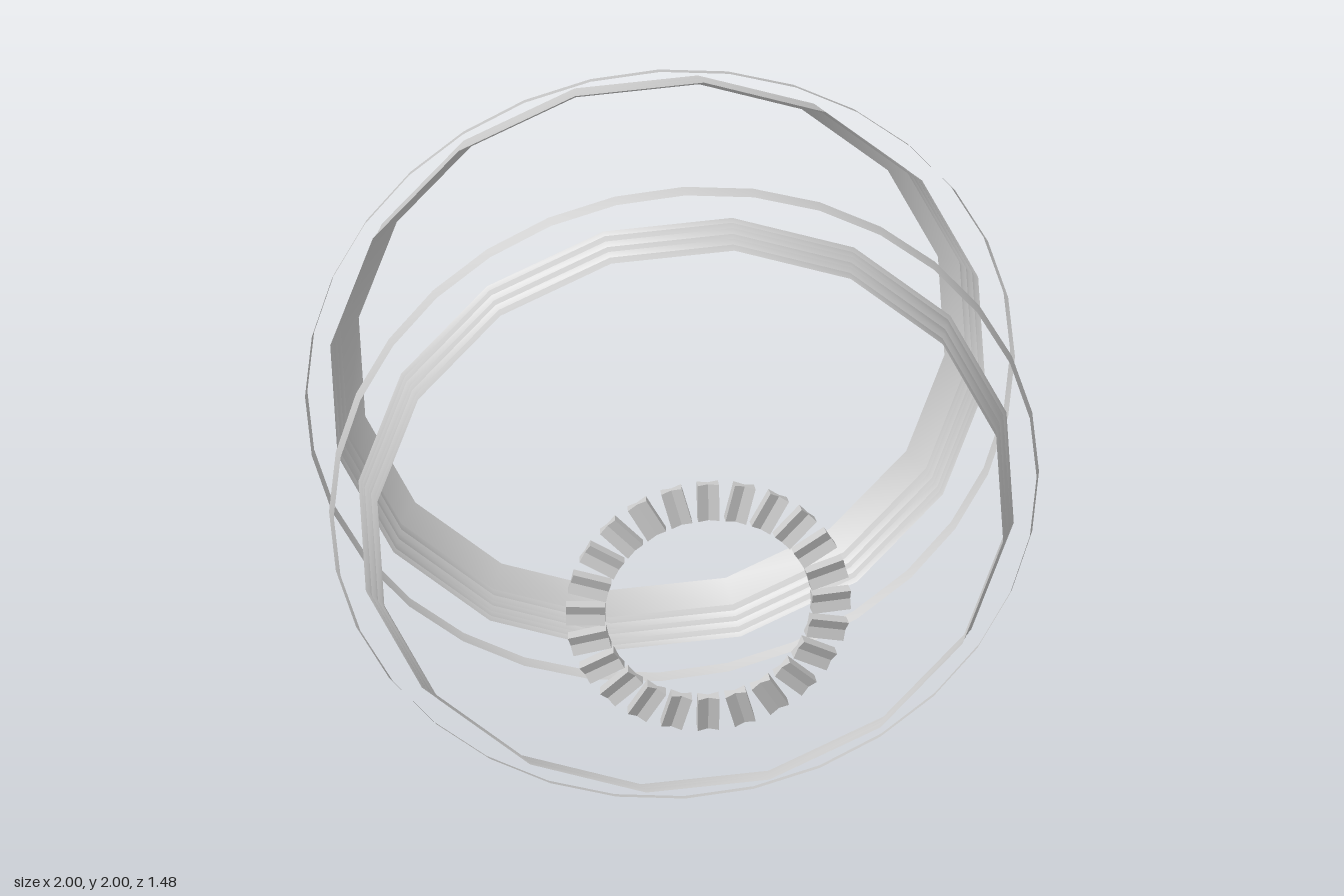
import * as THREE from 'three';
import { toCreasedNormals } from 'three/addons/utils/BufferGeometryUtils.js';

const AXIS_Y = 1;
const MID_Z = -0.21; // the two rims mirror about this plane

// Surface of revolution about z from [z, radius] pairs
function ring(name, profile, sides, phase, material) {
  const points = profile.map(([z, r]) => new THREE.Vector2(r, z));
  const geo = new THREE.LatheGeometry(points, sides, phase, Math.PI * 2);
  geo.rotateX(Math.PI / 2);
  const mesh = new THREE.Mesh(toCreasedNormals(geo, THREE.MathUtils.degToRad(28)), material);
  mesh.name = name;
  return mesh;
}

const mirrored = (profile) => profile.map(([z, r]) => [2 * MID_Z - z, r]);

export function createModel() {
  const model = new THREE.Group();
  model.name = 'wheelTrim';
  const sheet = new THREE.MeshStandardMaterial({ color: 0xcccccc, side: THREE.DoubleSide });
  const solid = new THREE.MeshStandardMaterial({ color: 0xcccccc, flatShading: true });

  const wheel = new THREE.Group();
  wheel.name = 'wheel';
  wheel.position.y = AXIS_Y;
  model.add(wheel);

  // Thin outer hoops
  const hoop = [[0.1, 1], [0.13, 0.99]];
  wheel.add(ring('frontHoop', hoop, 32, 0, sheet));
  wheel.add(ring('backHoop', mirrored(hoop), 32, 0, sheet));

  // Sixteen-sided stepped bands; the back one has an extra chamfer
  const band = [
    [0.155, 0.932], [0.165, 0.922], [0.187, 0.918], [0.2, 0.907],
    [0.222, 0.904], [0.235, 0.893], [0.263, 0.89],
  ];
  const phase = THREE.MathUtils.degToRad(-8);
  wheel.add(ring('frontBand', band, 16, phase, sheet));
  wheel.add(ring('backBand', [...mirrored(band), [-0.737, 0.833]], 16, phase, sheet));

  // Ring of small hub teeth, pinched along the middle and leaning back outward
  const section = new THREE.Shape([
    [-0.03, -0.017], [0, -0.007], [0.03, -0.017],
    [0.03, 0.017], [0, 0.007], [-0.03, 0.017],
  ].map(([x, y]) => new THREE.Vector2(x, y)));
  const length = 0.11;
  const toothGeo = new THREE.ExtrudeGeometry(section, { depth: length, bevelEnabled: false });
  toothGeo.translate(0, 0, -length / 2);
  toothGeo.rotateX(-Math.PI / 2); // length along y, pinch facing z
  toothGeo.rotateX(-0.13);
  toothGeo.translate(0, 0.345, 0.72);

  const teeth = new THREE.Group();
  teeth.name = 'hubTeeth';
  const count = 24;
  for (let i = 0; i < count; i++) {
    const tooth = new THREE.Mesh(toothGeo, solid);
    tooth.name = 'hubTooth';
    tooth.rotation.z = (i / count) * Math.PI * 2;
    teeth.add(tooth);
  }
  wheel.add(teeth);

  return model;
}
